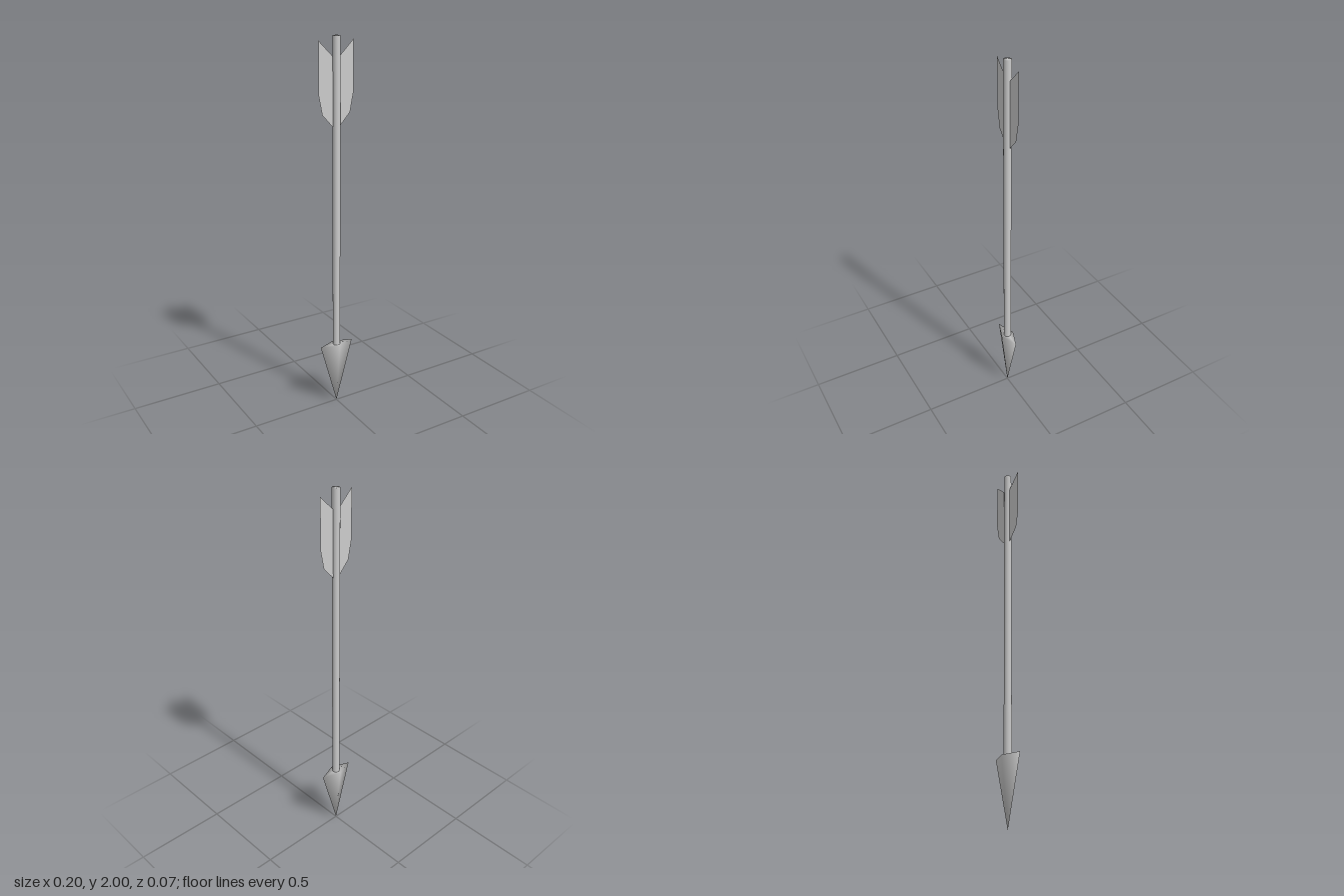
import * as THREE from 'three';
import { mergeVertices } from 'three/addons/utils/BufferGeometryUtils.js';

// Weld all corners so the shading runs smoothly over every edge
function smooth(geometry) {
  geometry.deleteAttribute('normal');
  geometry.deleteAttribute('uv');
  const welded = mergeVertices(geometry);
  welded.computeVertexNormals();
  return welded;
}

export function createModel() {
  const model = new THREE.Group();
  model.name = 'arrow';
  const grey = new THREE.MeshStandardMaterial({ color: 0xcccccc });
  const thin = new THREE.MeshStandardMaterial({ color: 0xcccccc, side: THREE.DoubleSide });

  const add = (name, geometry, material) => {
    const mesh = new THREE.Mesh(geometry, material);
    mesh.name = name;
    model.add(mesh);
  };

  // Round shaft, sunk slightly into the head
  const bottom = 0.34, top = 2;
  const shaft = new THREE.CylinderGeometry(0.02, 0.02, top - bottom, 20);
  shaft.translate(0, (top + bottom) / 2, 0);
  add('shaft', smooth(shaft), grey);

  // Flattened four-sided head, point down
  const headHeight = 0.355;
  const head = new THREE.CylinderGeometry(1, 0, headHeight, 4);
  head.scale(0.099, 1, 0.037);
  head.translate(0, headHeight / 2, 0);
  add('arrowhead', smooth(head), grey);

  // Mirrored pair of thin feather vanes
  const outline = [[0.012, 1.895], [0.099, 1.98], [0.099, 1.72], [0.08, 1.625], [0.012, 1.55]];
  for (const [name, side] of [['leftFletching', 1], ['rightFletching', -1]]) {
    const shape = new THREE.Shape(outline.map(([x, y]) => new THREE.Vector2(x * side, y)));
    add(name, new THREE.ShapeGeometry(shape).translate(0, 0, -0.002), thin);
  }

  return model;
}
